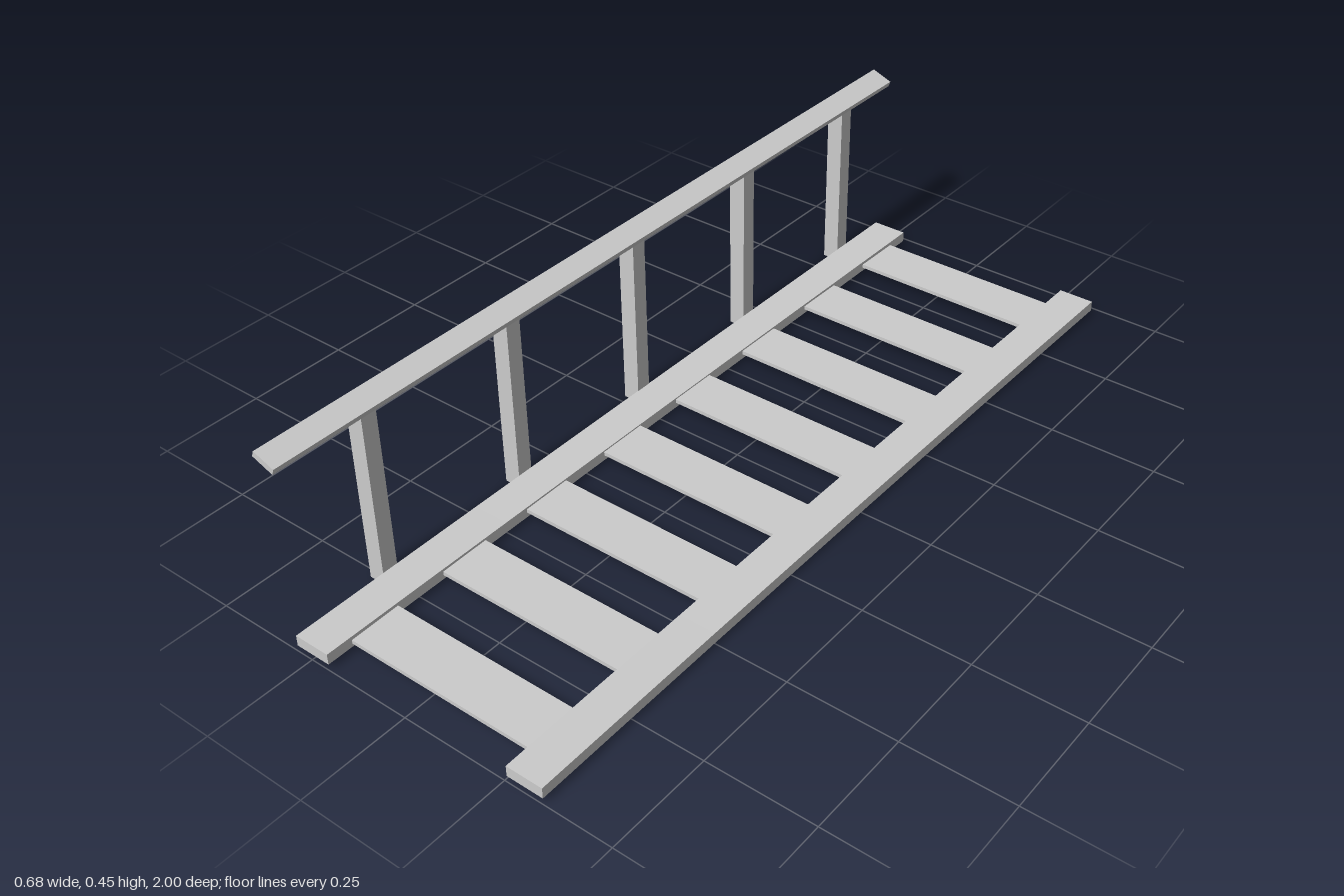
import * as THREE from 'three';

const material = new THREE.MeshStandardMaterial({ color: 0xcccccc, flatShading: true });

// Box placed by its centre
function beam(name, w, h, d, x, y, z, segments = 1) {
  const mesh = new THREE.Mesh(new THREE.BoxGeometry(w, h, d, 1, 1, segments), material);
  mesh.name = name;
  mesh.position.set(x, y, z);
  return mesh;
}

// Slightly warped plank: the middle bows sideways and sags
function warp(mesh, length, bow, sag) {
  const p = mesh.geometry.attributes.position;
  for (let i = 0; i < p.count; i++) {
    const k = Math.cos((p.getZ(i) / length) * Math.PI);
    p.setX(i, p.getX(i) - bow * k);
    p.setY(i, p.getY(i) - sag * k);
  }
  mesh.geometry.computeVertexNormals();
  return mesh;
}

export function createModel() {
  const bridge = new THREE.Group();
  bridge.name = 'plankBridge';

  // Two long side rails
  const length = 1.97;
  bridge.add(warp(beam('leftSideRail', 0.086, 0.025, length, 0.297, 0.0245, 0.013, 8), length, 0.009, 0.006));
  bridge.add(warp(beam('rightSideRail', 0.086, 0.025, length, -0.248, 0.0245, 0.013, 8), length, 0.008, 0.006));

  // Cross planks between the rails
  for (let i = 0; i < 8; i++) {
    bridge.add(beam('crossPlank', 0.5, 0.009, 0.122, 0.02, 0.0235, -0.85 + i * 0.2464));
  }

  // Posts along the right side
  for (let i = 0; i < 5; i++) {
    bridge.add(beam('post', 0.04, 0.43, 0.038, -0.318, 0.215, 0.748 - i * 0.3935));
  }

  // Tilted handrail on the posts
  const handrail = beam('handrail', 0.054, 0.0145, 1.985, -0.3145, 0.431, -0.0075);
  handrail.rotation.z = -0.357;
  bridge.add(handrail);

  return bridge;
}
